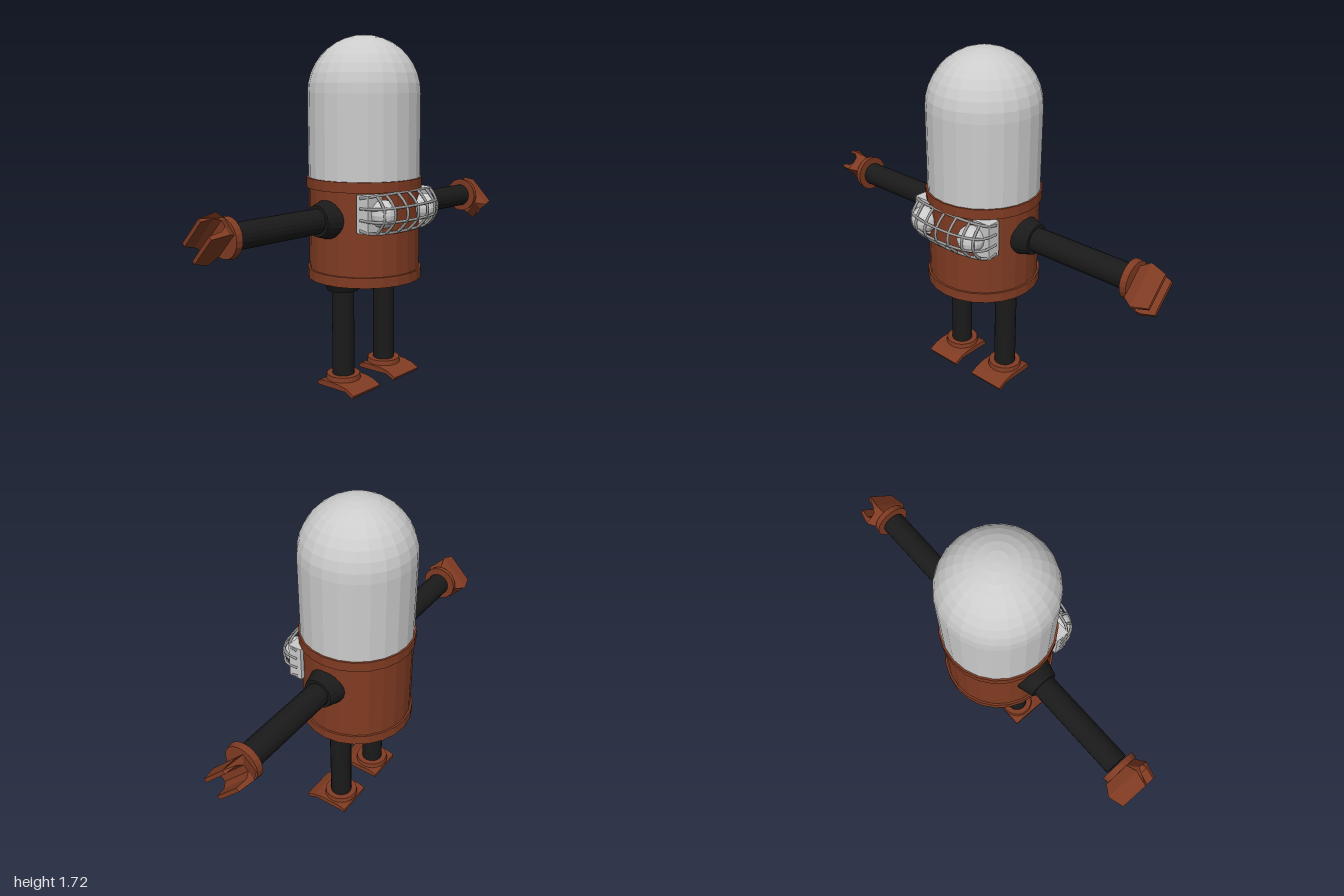
import * as THREE from 'three';

const mat = (color, flatShading = true) => new THREE.MeshStandardMaterial({ color, flatShading });
const RUST = mat(0x803b22), RUBBER = mat(0x1a1a1a), GREY = mat(0xcccccc);
const WIRE = mat(0x999999, false);
const CX = -0.035; // body axis

function add(parent, name, geometry, material, x = 0, y = 0, z = 0) {
  const m = new THREE.Mesh(geometry, material);
  m.name = name;
  m.position.set(x, y, z);
  parent.add(m);
  return m;
}
const cyl = (top, bottom, h, n = 20) => new THREE.CylinderGeometry(top, bottom, h, n);
const shapeOf = (pts) => new THREE.Shape(pts.map(([x, y]) => new THREE.Vector2(x, y)));
const extrude = (pts, depth) =>
  new THREE.ExtrudeGeometry(shapeOf(pts), { depth, bevelEnabled: false }).translate(0, 0, -depth / 2);

// U-shaped gripper: profile in x/y, widened along z halfway up the prongs
function gripperGeometry() {
  const half = [[0.045, 0], [0.06, 0.05], [0.055, 0.125], [0.036, 0.125], [0.034, 0.07], [0.016, 0.045]];
  const mirrored = half.map(([x, y]) => [-x, y]).reverse();
  const g = extrude([...half, ...mirrored], 2);
  const p = g.attributes.position;
  for (let i = 0; i < p.count; i++) {
    const d = p.getY(i);
    const w = d < 0.05 ? 0.075 + 0.6 * d : 0.105 - 0.3 * (d - 0.05);
    p.setZ(i, p.getZ(i) * w);
  }
  g.computeVertexNormals();
  return g;
}

// Arm pointing along +z
function arm(name, dx, dy) {
  const g = new THREE.Group();
  g.name = name;
  const turn = Math.PI / 2;
  add(g, 'shoulder', cyl(0.075, 0.1, 0.085), RUBBER, 0, 0, 0.293).rotation.x = turn;
  add(g, 'armTube', cyl(0.06, 0.06, 0.58), RUBBER, 0, 0, 0.55).rotation.x = turn;
  add(g, 'wristRing', cyl(0.088, 0.092, 0.03), RUST, 0, 0, 0.862).rotation.x = turn;
  const hand = add(g, 'gripper', gripperGeometry(), RUST, dx, dy, 0.875);
  const s = Math.SQRT1_2;
  hand.quaternion.setFromRotationMatrix(new THREE.Matrix4().makeBasis(
    new THREE.Vector3(-s, s, 0), new THREE.Vector3(0, 0, 1), new THREE.Vector3(s, s, 0)));
  return g;
}

function leg(name) {
  const g = new THREE.Group();
  g.name = name;
  add(g, 'hip', cyl(0.097, 0.077, 0.046), RUBBER, 0, 0.528);
  add(g, 'legTube', cyl(0.055, 0.055, 0.47), RUBBER, 0, 0.305);
  add(g, 'ankleRing', cyl(0.083, 0.087, 0.024), RUST, 0, 0.064);
  // Sole with a toe that bends down
  const sole = [[-0.085, 0.022], [0.1, 0.028], [0.148, 0.006], [0.157, 0.022], [0.11, 0.044],
    [0.06, 0.053], [-0.045, 0.053], [-0.085, 0.04]];
  add(g, 'foot', extrude(sole, 0.195), RUST);
  return g;
}

// Point on the curved guard: t runs along z, v runs along y, both -1 to 1
function guardPoint(t, v) {
  const a = t * Math.PI / 2;
  const bulge = Math.sqrt(Math.max(0, Math.cos(a)));
  return new THREE.Vector3(
    0.15 + 0.155 * bulge * (1 - 0.42 * v * v),
    0.905 + v * (0.075 + 0.017 * bulge),
    0.24 * Math.sin(a));
}

function lampGuard() {
  const g = new THREE.Group();
  g.name = 'lampGuard';
  const wire = (name, fn) => {
    const pts = Array.from({ length: 17 }, (_, i) => fn(i / 8 - 1));
    add(g, name, new THREE.TubeGeometry(new THREE.CatmullRomCurve3(pts), 32, 0.007, 6), WIRE);
  };
  for (const v of [-1, -0.36, 0.36, 1]) wire('guardRail', (t) => guardPoint(t, v));
  for (const z of [-0.2, -0.15, -0.075, 0, 0.075, 0.15, 0.2]) {
    const t = Math.asin(z / 0.24) * 2 / Math.PI;
    wire('guardRib', (v) => guardPoint(t, v));
  }
  return g;
}

export function createModel() {
  const model = new THREE.Group();
  model.name = 'robot';

  // Body barrel with a band at each end
  add(model, 'body', cyl(0.275, 0.275, 0.49, 24), RUST, CX, 0.8);
  for (const y of [0.575, 1.025]) add(model, 'bodyBand', cyl(0.285, 0.285, 0.05, 24), RUST, CX, y);

  // Tall round-topped dome
  const profile = [new THREE.Vector2(0.276, 1.04)];
  for (let i = 0; i <= 9; i++) {
    const a = i / 9 * Math.PI / 2;
    profile.push(new THREE.Vector2(i === 9 ? 0 : 0.276 * Math.cos(a), 1.454 + 0.276 * Math.sin(a)));
  }
  add(model, 'dome', new THREE.LatheGeometry(profile, 24), GREY, CX);

  // Arms; the right one is turned about the vertical axis
  const leftArm = arm('frontArm', -0.012, 0.005);
  const rightArm = arm('backArm', -0.005, -0.023);
  rightArm.rotation.y = Math.PI;
  for (const a of [leftArm, rightArm]) {
    a.position.set(CX, 0.865, 0);
    model.add(a);
  }

  // Legs, lamps and lamp mounts in pairs
  for (const s of [1, -1]) {
    const l = leg(s > 0 ? 'frontLeg' : 'backLeg');
    l.position.set(CX, 0, 0.004 + s * 0.155);
    model.add(l);
    add(model, 'lampMount', new THREE.BoxGeometry(0.07, 0.18, 0.15), GREY, 0.165, 0.905, s * 0.165);
    add(model, 'lamp', new THREE.SphereGeometry(0.066, 16, 10), GREY, 0.222, 0.905, 0.004 + s * 0.152);
  }
  model.add(lampGuard());
  return model;
}
